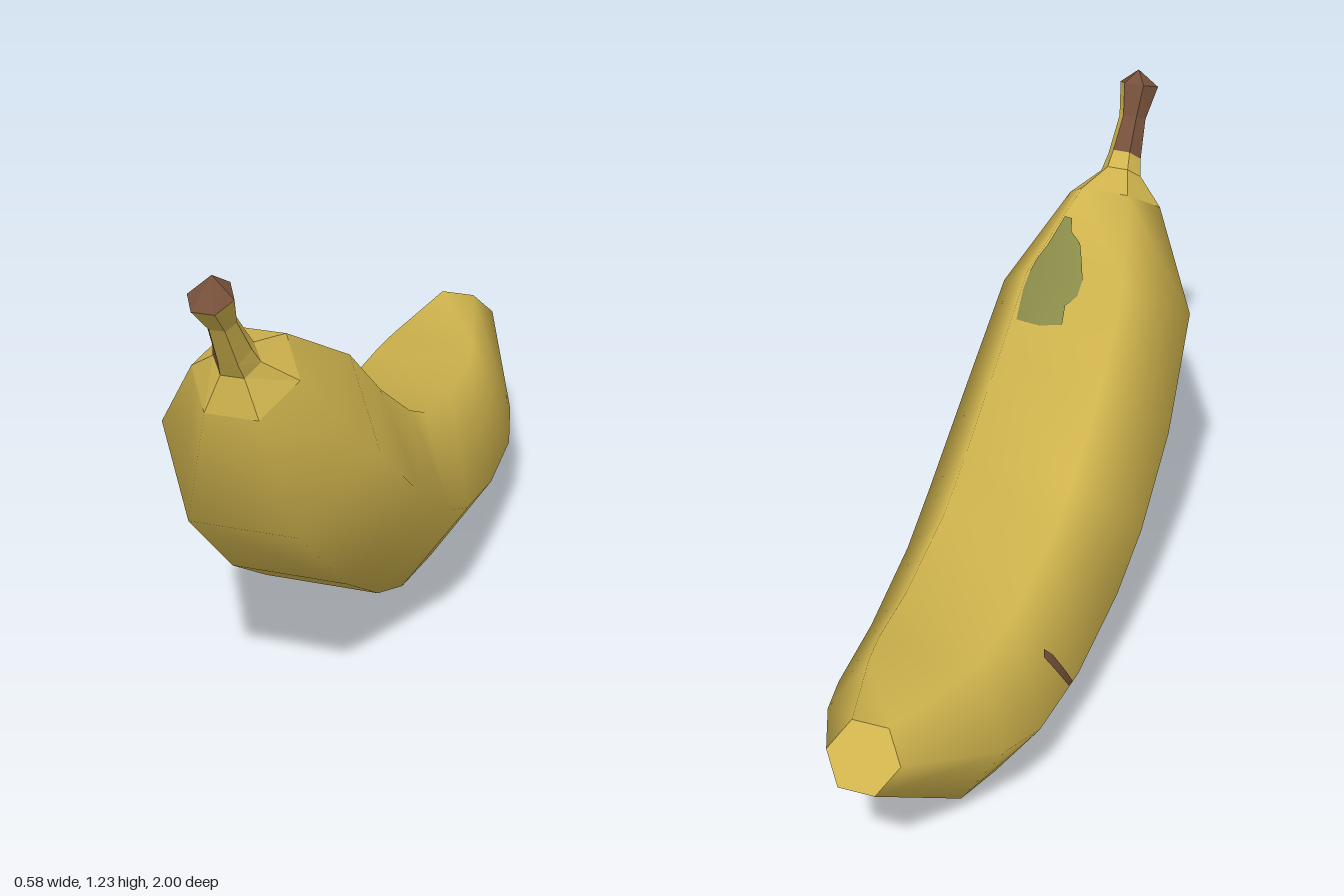
import * as THREE from 'three';

const SIDES = 6;
// Each ring: [top z, top y, bottom z, bottom y, half width], from stem to tail
const stemRings = [
  [0.909, 1.206, 1.0, 1.169, 0.052],
  [0.88, 1.128, 0.925, 1.1, 0.036],
  [0.815, 1.055, 0.868, 1.0, 0.045],
  [0.785, 1.019, 0.845, 0.96, 0.055],
];
const bodyRings = [
  [0.68, 1.0, 0.855, 0.87, 0.125],
  [0.45, 0.86, 0.8, 0.57, 0.26],
  [0.26, 0.69, 0.51, 0.3, 0.285],
  [0.03, 0.53, 0.28, 0.15, 0.29],
  [-0.11, 0.46, 0.07, 0.055, 0.285],
  [-0.37, 0.4, -0.2, 0.0, 0.275],
  [-0.56, 0.4, -0.48, 0.0, 0.26],
  [-0.66, 0.411, -0.66, 0.055, 0.225],
  [-0.91, 0.445, -1.0, 0.32, 0.09],
];

// Hexagon corners of a ring; corner 0 is on +x, then up and over
function corners([zt, yt, zb, yb, w]) {
  return Array.from({ length: SIDES }, (_, j) => {
    const a = (j * Math.PI * 2) / SIDES;
    const s = Math.sin(a) / Math.sin(Math.PI / 3) / 2;
    return new THREE.Vector3(w * Math.cos(a), (yt + yb) / 2 + s * (yt - yb), (zt + zb) / 2 + s * (zt - zb));
  });
}

function geometryFrom(points, index) {
  const g = new THREE.BufferGeometry().setFromPoints(points);
  if (index) g.setIndex(index);
  g.computeVertexNormals();
  return g;
}

// Skin between rings; keep(segment, side) chooses the faces
function loft(rings, flat, keep = () => true) {
  const index = [];
  for (let i = 0; i < rings.length - 1; i++) {
    for (let j = 0; j < SIDES; j++) {
      if (!keep(i, j)) continue;
      const k = (j + 1) % SIDES;
      const [a, b, c, d] = [i * SIDES + j, i * SIDES + k, (i + 1) * SIDES + k, (i + 1) * SIDES + j];
      index.push(a, d, c, a, c, b);
    }
  }
  const points = rings.flatMap(corners);
  return flat ? geometryFrom(index.map((n) => points[n])) : geometryFrom(points, index);
}

// Fan from a centre point to a ring, facing forward or backward
function fan(ring, centre, backward) {
  const c = corners(ring);
  const points = c.flatMap((p, j) => {
    const q = c[(j + 1) % SIDES];
    return backward ? [centre, q, p] : [centre, p, q];
  });
  return geometryFrom(points);
}

// Skin blemish: outline of [across, along] pairs on one face of the body
function blemish(body, seg, side, outline) {
  const next = (side + 1) % SIDES;
  const ids = [[seg, side], [seg, next], [seg + 1, side], [seg + 1, next]].map(([i, j]) => i * SIDES + j);
  const sample = (name, u, v) => {
    const [a, b, c, d] = ids.map((n) => new THREE.Vector3().fromBufferAttribute(body.attributes[name], n));
    return a.lerp(b, u).lerp(c.lerp(d, u), v);
  };
  const uvs = outline.map(([u, v]) => new THREE.Vector2(u, v));
  const faces = THREE.ShapeUtils.triangulateShape(uvs, []);
  const normals = uvs.map((p) => sample('normal', p.x, p.y).normalize());
  const points = uvs.map((p, n) => sample('position', p.x, p.y).addScaledVector(normals[n], 0.004));
  const g = new THREE.BufferGeometry().setFromPoints(points);
  g.setAttribute('normal', new THREE.Float32BufferAttribute(normals.flatMap((n) => n.toArray()), 3));
  // Across x along points inward or outward: orient by the normal
  g.setIndex(faces.flatMap(([a, b, c]) => {
    const n = points[b].clone().sub(points[a]).cross(points[c].clone().sub(points[a]));
    return n.dot(normals[a]) > 0 ? [a, b, c] : [a, c, b];
  }));
  return g;
}

export function createModel() {
  const yellow = new THREE.MeshStandardMaterial({ color: 0xd1b54e });
  const brown = new THREE.MeshStandardMaterial({ color: 0x75503a });
  const green = new THREE.MeshStandardMaterial({ color: 0x888a48 });
  yellow.name = 'peelYellow';
  brown.name = 'stemBrown';
  green.name = 'unripeGreen';

  const model = new THREE.Group();
  model.name = 'banana';
  const add = (name, geometry, material) => {
    const mesh = new THREE.Mesh(geometry, material);
    mesh.name = name;
    model.add(mesh);
  };

  // Smooth curved body with a flat cut tail
  const body = loft(bodyRings, false);
  add('body', body, yellow);
  const tail = bodyRings[bodyRings.length - 1];
  add('tailEnd', fan(tail, new THREE.Vector3(0, (tail[1] + tail[3]) / 2, (tail[0] + tail[2]) / 2), true), yellow);

  // Faceted neck and stem, brown on its top and -x sides
  add('neck', loft([stemRings[3], bodyRings[0]], true), yellow);
  const isBrown = (i, j) => (i < 2 ? j >= 1 && j <= 3 : j === 3);
  add('stemBrownSide', loft(stemRings, true, isBrown), brown);
  add('stemYellowSide', loft(stemRings, true, (i, j) => !isBrown(i, j)), yellow);
  add('stemTip', fan(stemRings[0], new THREE.Vector3(0, 1.233, 0.946), false), brown);

  // Unripe patch on top, in two pieces across a ring
  add('greenPatchFront', blemish(body, 0, 1,
    [[0.04, 1], [0.03, 0.85], [0.05, 0.7], [0.04, 0.35], [0.16, 0.36], [0.24, 0.5], [0.42, 0.62], [0.5, 0.78], [0.58, 1]]), green);
  add('greenPatchBack', blemish(body, 1, 1,
    [[0.04, 0], [0.58, 0], [0.57, 0.18], [0.48, 0.3], [0.5, 0.5], [0.3, 0.55], [0.06, 0.53], [0.03, 0.2]]), green);

  // Bruises near the tail and on the -x flank
  add('tailBruise', blemish(body, 7, 5,
    [[0, 0.38], [0.2, 0.34], [0.45, 0.4], [0.6, 0.5], [0.45, 0.62], [0.2, 0.64], [0, 0.58]]), brown);
  add('tailBruiseUnder', blemish(body, 7, 4, [[1, 0.38], [0.88, 0.42], [0.84, 0.5], [1, 0.58]]), brown);
  add('tailGreen', blemish(body, 7, 4, [[0.84, 0.52], [1, 0.6], [1, 0.85], [0.75, 0.85], [0.7, 0.65]]), green);
  add('tailGreenSide', blemish(body, 7, 5, [[0.47, 0.63], [0.62, 0.51], [0.72, 0.58], [0.6, 0.7]]), green);
  add('underSpot', blemish(body, 6, 4, [[0.7, 0.5], [0.8, 0.4], [0.88, 0.55], [0.8, 0.75]]), brown);
  add('flankSpot', blemish(body, 5, 2,
    [[0.5, 0.1], [0.62, 0.07], [0.85, 0.12], [0.98, 0.16], [0.97, 0.25], [0.75, 0.22], [0.55, 0.2]]), brown);

  return model;
}
